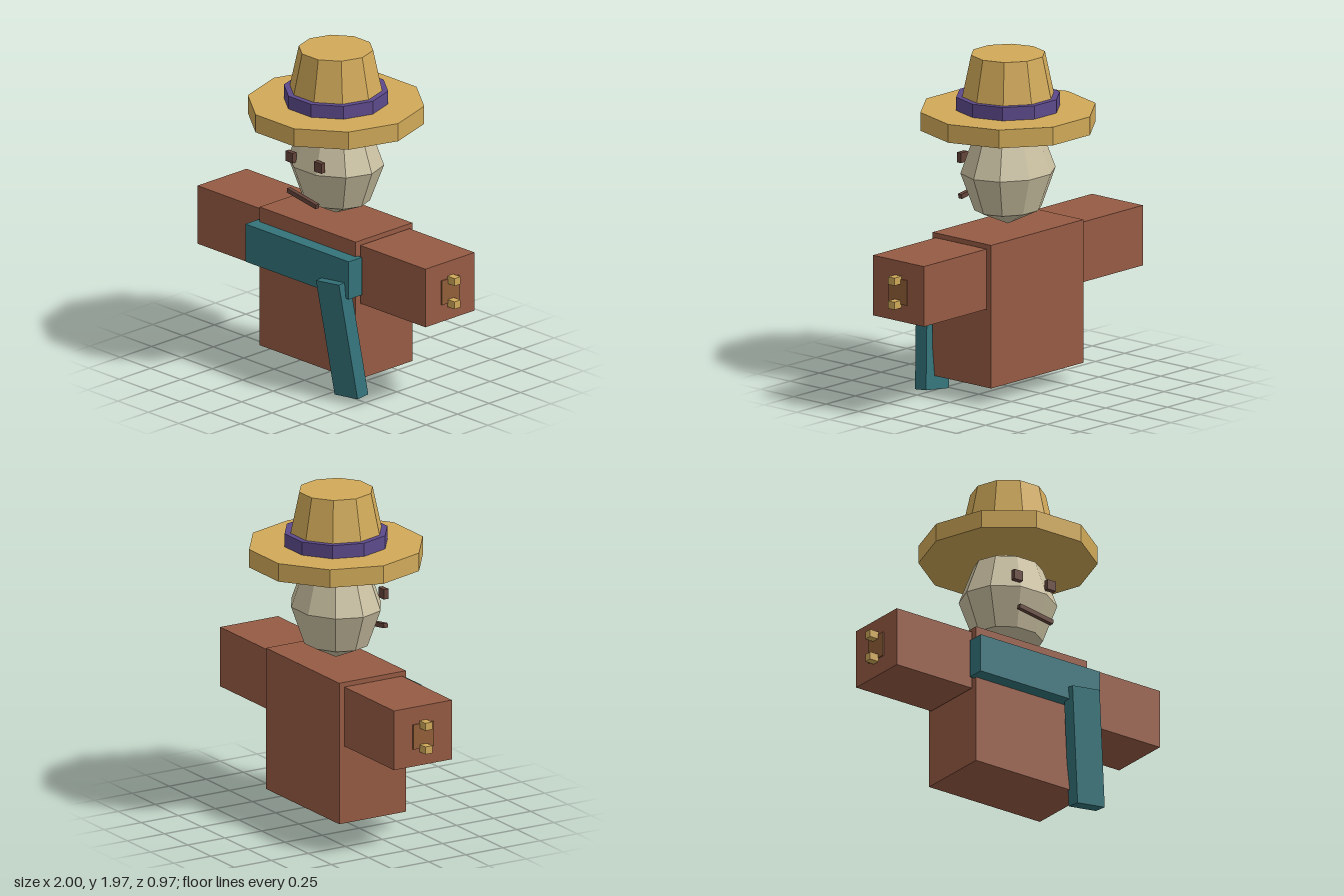
import * as THREE from 'three';

const paint = (name, color) => {
  const m = new THREE.MeshStandardMaterial({ color, flatShading: true });
  m.name = name;
  return m;
};

export function createModel() {
  const brown = paint('coat brown', 0x965b44);
  const patchBrown = paint('patch brown', 0x925f3a);
  const straw = paint('straw', 0xd0a959);
  const purple = paint('band purple', 0x5d4a8c);
  const teal = paint('scarf teal', 0x33737a);
  const sack = paint('sackcloth', 0xcbc1a2);
  const dark = paint('dark brown', 0x64443a);

  const model = new THREE.Group();
  model.name = 'scarecrow';

  const add = (name, geometry, material, x, y, z, parent = model) => {
    const mesh = new THREE.Mesh(geometry, material);
    mesh.name = name;
    mesh.position.set(x, y, z);
    parent.add(mesh);
    return mesh;
  };
  const box = (name, material, size, pos, parent) =>
    add(name, new THREE.BoxGeometry(...size), material, ...pos, parent);

  // Body
  box('torso', brown, [0.79, 0.845, 0.45], [0, 0.5275, 0]);

  // Arms with cuff patches and straw tufts
  for (const [side, s] of [['left', 1], ['right', -1]]) {
    const arm = new THREE.Group();
    arm.name = side + 'Arm';
    model.add(arm);
    box('sleeve', brown, [0.535, 0.355, 0.39], [s * 0.67, 0.747, 0], arm);
    box('cuffPatch', patchBrown, [0.008, 0.148, 0.14], [s * 0.941, 0.747, 0], arm);
    for (const y of [0.674, 0.816]) {
      box('strawTuft', straw, [0.06, 0.045, 0.047], [s * 0.97, y, 0], arm);
    }
  }

  // Head: a faceted sphere, slightly flattened front to back
  const head = new THREE.Group();
  head.name = 'head';
  model.add(head);
  const skull = new THREE.SphereGeometry(1, 10, 4);
  skull.scale(0.295, 0.315, 0.258);
  add('skull', skull, sack, 0, 1.28, 0, head);
  for (const s of [-1, 1]) {
    box('eye', dark, [0.06, 0.06, 0.03], [s * 0.118, 1.339, 0.245], head);
  }
  const mouth = box('mouth', dark, [0.24, 0.027, 0.027], [0, 1.121, 0.262], head);
  mouth.rotation.z = -0.16;

  // Hat: brim, band and tapered crown with ten sides, a corner at each side
  const hat = new THREE.Group();
  hat.name = 'hat';
  model.add(hat);
  const ring = (name, material, top, bottom, y0, y1) => {
    const g = new THREE.CylinderGeometry(top, bottom, y1 - y0, 10);
    g.rotateY(Math.PI / 2);
    add(name, g, material, 0, (y0 + y1) / 2, 0, hat);
  };
  ring('brim', straw, 0.512, 0.512, 1.54, 1.648);
  ring('hatBand', purple, 0.303, 0.303, 1.645, 1.727);
  ring('crown', straw, 0.216, 0.286, 1.645, 1.97);

  // Scarf across the chest and its hanging end
  box('scarf', teal, [0.85, 0.23, 0.105], [0, 0.745, 0.257]);
  const tail = box('scarfTail', teal, [0.193, 0.7, 0.085], [0.337, 0.366, 0.277]);
  tail.rotation.set(0.095, 0, 0.122);

  return model;
}
